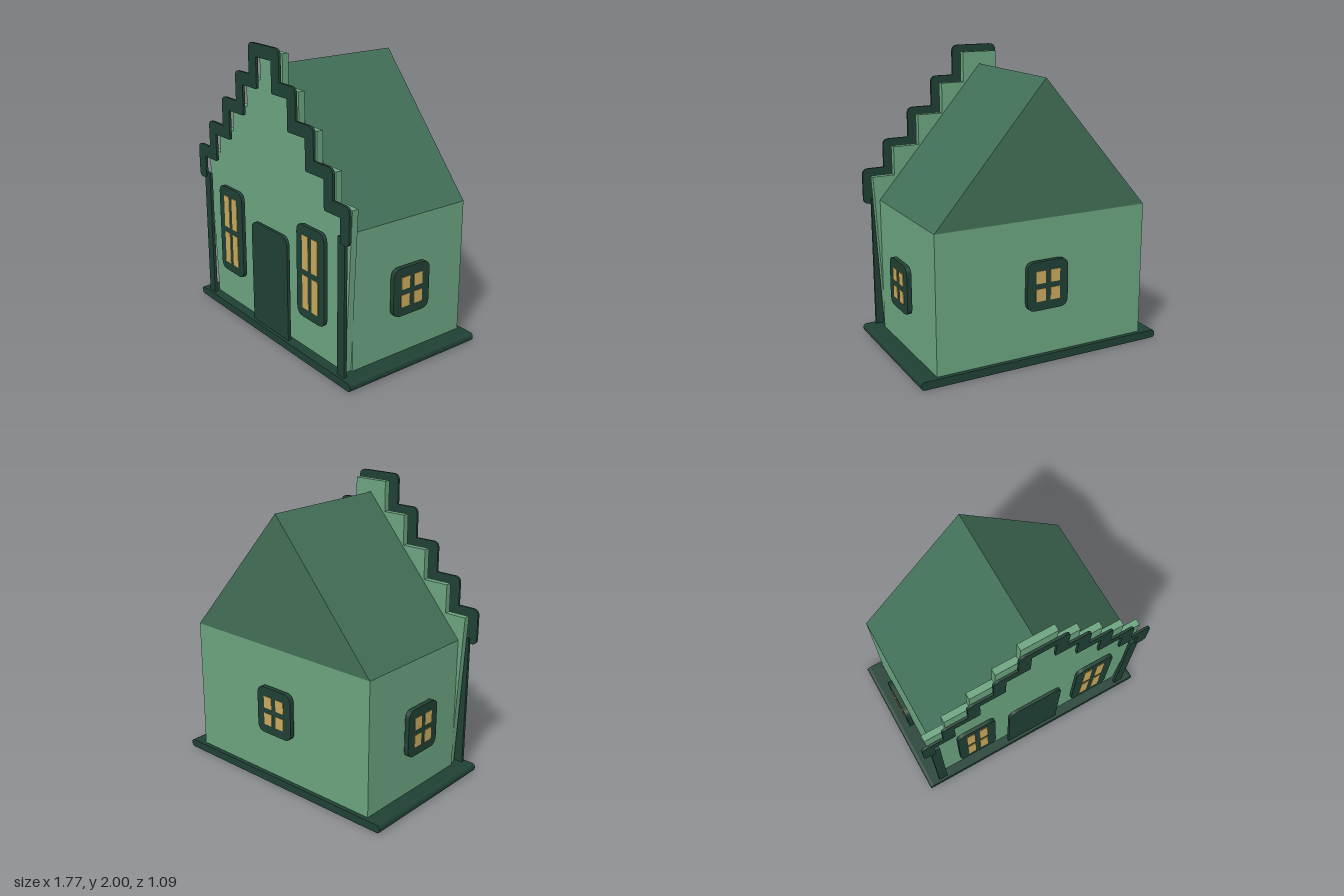
import * as THREE from 'three';

const paint = (name, color) => {
  const m = new THREE.MeshStandardMaterial({ color });
  m.name = name;
  return m;
};

// Closed shape from [x, y, radius] corners; radius 0 or missing is a sharp corner.
function roundedShape(points) {
  const shape = new THREE.Shape();
  const n = points.length;
  const toward = (a, b, d) => {
    const len = Math.hypot(b[0] - a[0], b[1] - a[1]);
    return [a[0] + (b[0] - a[0]) * d / len, a[1] + (b[1] - a[1]) * d / len];
  };
  points.forEach((p, i) => {
    const r = p[2] || 0;
    const start = r ? toward(p, points[(i + n - 1) % n], r) : p;
    if (i === 0) shape.moveTo(start[0], start[1]);
    else shape.lineTo(start[0], start[1]);
    if (r) {
      const end = toward(p, points[(i + 1) % n], r);
      shape.quadraticCurveTo(p[0], p[1], end[0], end[1]);
    }
  });
  shape.closePath();
  return shape;
}

const roundedRect = (x0, x1, y0, y1, rBottom, rTop) =>
  roundedShape([[x0, y0, rBottom], [x1, y0, rBottom], [x1, y1, rTop], [x0, y1, rTop]]);

const mirrored = (half) => half.map(([x, y, r]) => [-x, y, r]).reverse();

export function createModel() {
  const house = new THREE.Group();
  house.name = 'house';
  const wall = paint('wallGreen', 0x6ba37f);
  const roofPaint = paint('roofGreen', 0x426f57);
  const dark = paint('darkGreen', 0x204034);
  const gold = paint('windowGold', 0xc9a95c);

  const add = (parent, name, geometry, material) => {
    const mesh = new THREE.Mesh(geometry, material);
    mesh.name = name;
    parent.add(mesh);
    return mesh;
  };
  // Extrudes a shape between two z positions.
  const slab = (parent, name, shape, z0, z1, material) => {
    const g = new THREE.ExtrudeGeometry(shape, { depth: z1 - z0, bevelEnabled: false, curveSegments: 6 });
    g.translate(0, 0, z0);
    return add(parent, name, g, material);
  };

  // Base, walls and roof
  slab(house, 'base', roundedRect(-0.885, 0.885, 0, 0.055, 0.027, 0.027), -0.52, 0.543, dark);
  const walls = add(house, 'walls', new THREE.BoxGeometry(1.53, 0.96, 0.92), wall);
  walls.position.set(0, 0.5, -0.03);
  slab(house, 'roof', roundedShape([[-0.765, 0.98], [0.765, 0.98], [0, 1.87]]), -0.49, 0.43, roofPaint);

  // Stepped front wall, slightly narrower at the foot
  const steps = [[0.81, 1.145], [0.655, 1.34], [0.47, 1.545], [0.29, 1.75], [0.125, 1.955]];
  const gable = [[0.75, 0.02]];
  steps.forEach(([x, y], i) => {
    gable.push([x, y]);
    if (i < steps.length - 1) gable.push([steps[i + 1][0], y]);
  });
  slab(house, 'steppedFront', roundedShape([...gable, ...mirrored(gable)]), 0.43, 0.475, wall);

  // Dark band following the steps
  const d = 0.0425;
  const outer = [[steps[0][0] + d, 0.94, 0.04]];
  const inner = [[steps[0][0] - d, 0.94, 0.03]];
  steps.forEach(([x, y], i) => {
    outer.push([x + d, y + d, 0.045]);
    inner.push([x - d, y - d, 0]);
    if (i < steps.length - 1) {
      const nx = steps[i + 1][0];
      outer.push([nx + d, y + d, 0]);
      inner.push([nx - d, y - d, 0.015]);
    }
  });
  const band = [...outer, ...mirrored(outer), ...mirrored(inner).reverse(), ...inner.slice().reverse()];
  slab(house, 'steppedTrim', roundedShape(band), 0.516, 0.533, dark);

  // Door and corner posts
  slab(house, 'door', roundedRect(-0.205, 0.205, 0.05, 0.79, 0, 0.07), 0.5, 0.522, dark);
  for (const s of [-1, 1]) {
    const post = add(house, s > 0 ? 'leftPost' : 'rightPost', new THREE.BoxGeometry(0.067, 0.93, 0.022), dark);
    post.position.set(s * 0.767, 0.515, 0.514);
  }

  // Window facing +z: frame with its back at z = 0, four panes on its face
  const makeWindow = (name, w, h, depth, paneW, paneH, gapX, gapY) => {
    const group = new THREE.Group();
    group.name = name;
    slab(group, 'windowFrame', roundedRect(-w / 2, w / 2, -h / 2, h / 2, 0.06, 0.06), 0, depth, dark);
    for (const sx of [-1, 1]) for (const sy of [-1, 1]) {
      const pane = add(group, 'windowPane', new THREE.BoxGeometry(paneW, paneH, 0.006), gold);
      pane.position.set(sx * (paneW + gapX) / 2, sy * (paneH + gapY) / 2, depth + 0.001);
    }
    house.add(group);
    return group;
  };
  for (const s of [-1, 1]) {
    makeWindow(s > 0 ? 'frontLeftWindow' : 'frontRightWindow', 0.285, 0.63, 0.026, 0.062, 0.23, 0.034, 0.04)
      .position.set(s * 0.461, 0.625, 0.5);
    const side = makeWindow(s > 0 ? 'leftWindow' : 'rightWindow', 0.3, 0.33, 0.032, 0.069, 0.084, 0.037, 0.037);
    side.position.set(s * 0.784, 0.51, -0.006);
    side.rotation.y = s * Math.PI / 2;
  }
  const back = makeWindow('backWindow', 0.3, 0.33, 0.032, 0.069, 0.084, 0.037, 0.037);
  back.position.set(0, 0.547, -0.507);
  back.rotation.y = Math.PI;

  return house;
}
